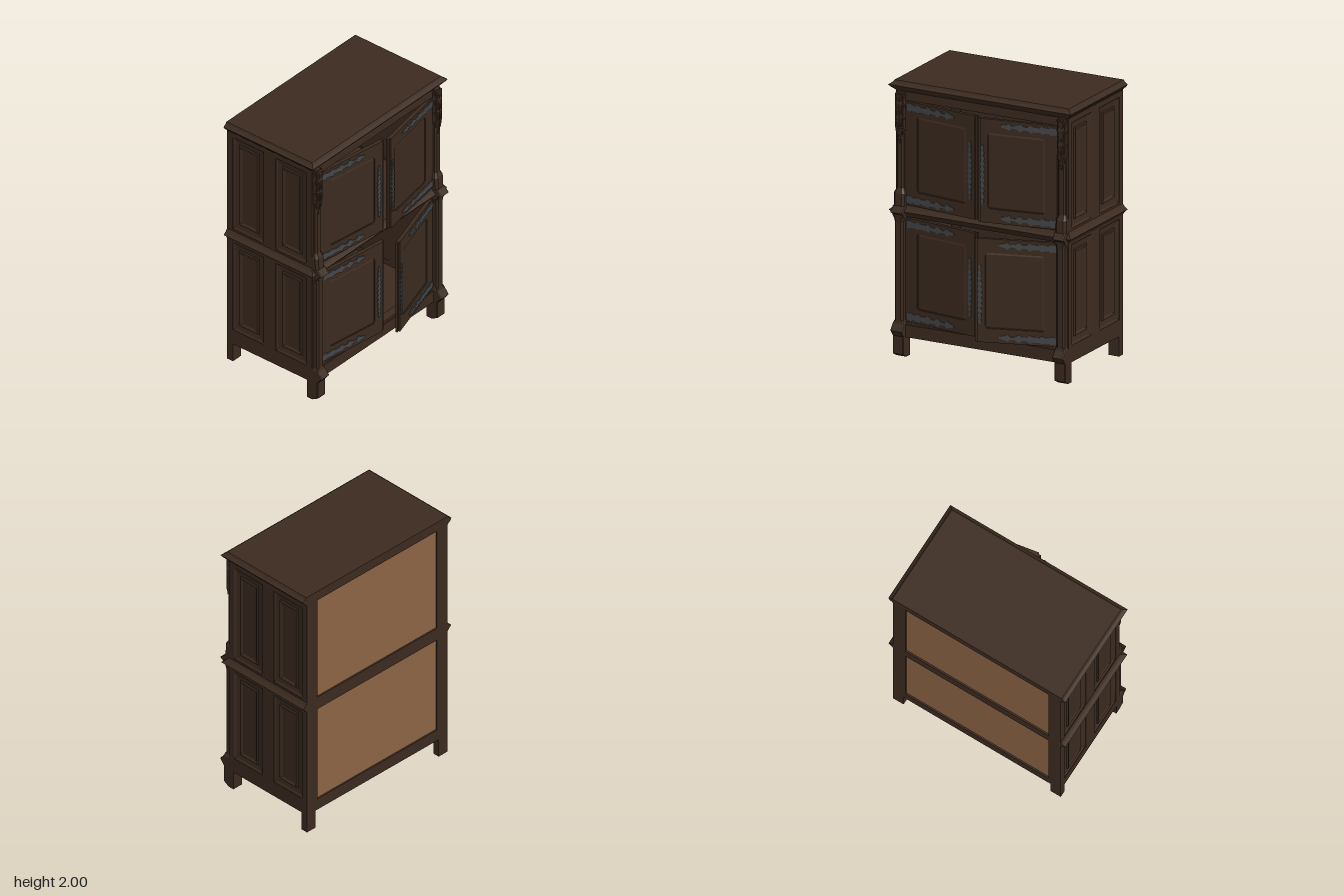
import * as THREE from 'three';

const wood = new THREE.MeshStandardMaterial({ name: 'dark wood', color: 0x3c2b20 });
const tan = new THREE.MeshStandardMaterial({ name: 'bare back wood', color: 0x8b6445 });
const iron = new THREE.MeshStandardMaterial({ name: 'iron', color: 0x434649 });

const W = 0.685, BACK = -0.47, FRONT = 0.3;

function add(parent, name, geometry, material = wood) {
  const mesh = new THREE.Mesh(geometry, material);
  mesh.name = name;
  parent.add(mesh);
  return mesh;
}

// box given by its min and max on each axis
function box(parent, name, x0, x1, y0, y1, z0, z1, material) {
  const m = add(parent, name, new THREE.BoxGeometry(x1 - x0, y1 - y0, z1 - z0), material);
  m.position.set((x0 + x1) / 2, (y0 + y1) / 2, (z0 + z1) / 2);
  return m;
}

// flat-faced loft through convex cross-sections, closed at both ends
function loft(rings) {
  const out = [];
  const tri = (a, b, c) => out.push(...a, ...b, ...c);
  const n = rings[0].length, last = rings[rings.length - 1];
  for (let i = 0; i + 1 < rings.length; i++) {
    for (let j = 0; j < n; j++) {
      const k = (j + 1) % n;
      tri(rings[i][j], rings[i][k], rings[i + 1][k]);
      tri(rings[i][j], rings[i + 1][k], rings[i + 1][j]);
    }
  }
  for (let j = 1; j + 1 < n; j++) {
    tri(rings[0][0], rings[0][j + 1], rings[0][j]);
    tri(last[0], last[j], last[j + 1]);
  }
  const g = new THREE.BufferGeometry();
  g.setAttribute('position', new THREE.Float32BufferAttribute(out, 3));
  g.computeVertexNormals();
  return g;
}

// moulded slab, profile of [y, outset]; flush at the back
const slab = (profile) => loft(profile.map(([y, o]) => [
  [-W - o, y, FRONT + o], [W + o, y, FRONT + o], [W + o, y, BACK], [-W - o, y, BACK]]));

// upright with chamfered front corners, profile of [y, half width, front z]
const upright = (x, zb, chamfer, profile) => loft(profile.map(([y, w, zf]) => {
  const c = w * chamfer;
  return [[x - w, y, zf - c], [x - w + c, y, zf], [x + w - c, y, zf],
    [x + w, y, zf - c], [x + w, y, zb], [x - w, y, zb]];
}));

// panel facing +z, steps of [inset, z]
const fielded = (w, h, steps) => loft(steps.map(([inset, z]) => {
  const a = w / 2 - inset, b = h / 2 - inset;
  return [[-a, -b, z], [a, -b, z], [a, b, z], [-a, b, z]];
}));

function rect(Path, x0, x1, y0, y1, r = 0.0001) {
  const p = new Path();
  p.moveTo(x0 + r, y0).lineTo(x1 - r, y0).quadraticCurveTo(x1, y0, x1, y0 + r);
  p.lineTo(x1, y1 - r).quadraticCurveTo(x1, y1, x1 - r, y1);
  p.lineTo(x0 + r, y1).quadraticCurveTo(x0, y1, x0, y1 - r);
  p.lineTo(x0, y0 + r).quadraticCurveTo(x0, y0, x0 + r, y0);
  return p;
}

const solid = (shape, depth) =>
  new THREE.ExtrudeGeometry(shape, { depth, bevelEnabled: false, curveSegments: 4 });

// symmetric leafy iron plate along x, outline of [position, half width]
function ironPlate(length, outline) {
  const top = outline.map(([t, w]) => new THREE.Vector2(t * length, w));
  const bottom = outline.map(([t, w]) => new THREE.Vector2(t * length, -w)).reverse();
  return solid(new THREE.Shape([...top, ...bottom]), 0.007);
}

const strapOutline = [[0, 0.02], [0.03, 0.028], [0.06, 0.024], [0.1, 0.03], [0.13, 0.02], [0.22, 0.022],
  [0.26, 0.03], [0.3, 0.018], [0.42, 0.02], [0.47, 0.031], [0.52, 0.014], [0.6, 0.012],
  [0.65, 0.03], [0.7, 0.02], [0.73, 0.01], [0.81, 0.008], [0.85, 0.027], [0.91, 0.016], [1, 0.008]];
// lock plate: a run of leaves, widest in the middle
const lockOutline = [];
for (let i = 0; i <= 22; i++) {
  const swell = 0.45 + 0.55 * Math.sin(Math.PI * i / 22);
  lockOutline.push([i / 22, (i % 2 ? 0.021 : 0.008) * swell]);
}

function door(name, side, y, angle) {
  const g = new THREE.Group();
  g.name = name;
  const L = side > 0 ? 0.585 : 0.602, H = 0.377, T = 0.028, d = -side;
  const span = (a, b) => [Math.min(d * a, d * b), Math.max(d * a, d * b)];
  // frame with a round-cornered opening and a sunk panel
  const shape = rect(THREE.Shape, ...span(0, L - 0.018), -H, H);
  shape.holes.push(rect(THREE.Path, ...span(0.09, 0.51), -0.275, 0.275, 0.025));
  add(g, 'doorFrame', solid(shape, T)).position.z = -T;
  const panel = add(g, 'doorPanel', fielded(0.425, 0.555, [[0, -T + 0.002], [0, -0.01], [0.016, -0.003]]));
  panel.position.x = d * 0.3;
  box(g, 'doorLip', ...span(L - 0.018, L), -H, H, -T, -0.012);
  // iron straps and lock plate
  for (const s of [-1, 1]) {
    const strap = add(g, 'hingeStrap', ironPlate(0.41, strapOutline), iron);
    strap.position.set(0, s * 0.335, side > 0 ? 0.007 : 0);
    strap.rotation.y = side > 0 ? Math.PI : 0;
  }
  const lock = add(g, 'lockPlate', ironPlate(0.43, lockOutline), iron);
  lock.rotation.z = Math.PI / 2;
  lock.position.set(d * 0.548, -0.243, 0);
  g.position.set(side * 0.598, y, 0.305);
  g.rotation.y = side * angle;
  return g;
}

export function createModel() {
  const model = new THREE.Group();
  model.name = 'cupboard';

  // moulded top and waist, rails and floor
  add(model, 'topCornice', slab([[1.925, 0], [1.94, 0.012], [1.95, 0.026], [1.97, 0.04], [1.985, 0.018], [2, 0.007]]));
  add(model, 'waistMoulding', slab([[1.015, 0], [1.035, 0.01], [1.06, 0.038], [1.08, 0.014], [1.1, 0]]));
  box(model, 'topRail', -0.6, 0.6, 1.862, 1.93, 0.26, FRONT);
  box(model, 'bottomRail', -0.6, 0.6, 0.145, 0.235, 0.26, 0.315);
  box(model, 'bottomLedge', -0.6, 0.6, 0.235, 0.252, 0.24, 0.305);
  box(model, 'floorBoard', -0.656, 0.656, 0.2, 0.225, -0.45, 0.27);

  // sides with four fielded panels each
  const rows = [[0.265, 1.0], [1.115, 1.885]], columns = [[-0.42, -0.14], [-0.03, 0.25]];
  const wall = rect(THREE.Shape, BACK, FRONT, 0.145, 1.93);
  for (const [y0, y1] of rows) for (const [z0, z1] of columns) wall.holes.push(rect(THREE.Path, z0, z1, y0, y1));
  for (const s of [-1, 1]) {
    const side = new THREE.Group();
    side.name = s > 0 ? 'leftSide' : 'rightSide';
    model.add(side);
    const frame = add(side, 'sideFrame', solid(wall, 0.03));
    frame.rotation.y = -Math.PI / 2;
    frame.position.x = s > 0 ? W : -W + 0.03;
    for (const [y0, y1] of rows) for (const [z0, z1] of columns) {
      const p = add(side, 'sidePanel', fielded(z1 - z0, y1 - y0,
        [[0, -0.028], [0, -0.003], [0.014, -0.012], [0.052, -0.016], [0.056, -0.005], [0.066, -0.005], [0.078, -0.013]]));
      p.rotation.y = s * Math.PI / 2;
      p.position.set(s * W, (y0 + y1) / 2, (z0 + z1) / 2);
    }

    // front stile, foot with pointed flare, and posts
    const x = s * 0.6425;
    box(side, 'frontStile', x - 0.0425, x + 0.0425, 0.145, 1.93, 0.25, FRONT);
    add(side, 'frontLeg', upright(x, 0.255, 0.12, [[0, 0.0425, 0.305], [0.025, 0.0425, 0.35], [0.155, 0.0425, 0.35],
      [0.2, 0.0425, 0.386], [0.245, 0.0425, 0.35], [0.265, 0.034, 0.345]]));
    add(side, 'lowerPost', upright(x, 0.29, 0.4, [[0.26, 0.034, 0.345], [0.98, 0.034, 0.345], [1.02, 0.0425, 0.35]]));
    add(side, 'postCap', upright(x, 0.29, 0.12, [[1.02, 0.0425, 0.35], [1.04, 0.0425, 0.354],
      [1.06, 0.0425, 0.386], [1.1, 0.0425, 0.348]]));
    add(side, 'upperPost', upright(x, 0.29, 0.4, [[1.1, 0.0425, 0.348], [1.19, 0.0425, 0.344],
      [1.225, 0.028, 0.326], [1.925, 0.028, 0.326]]));

    // carved pendant with ribs and small spikes
    add(side, 'carvedPendant', upright(x, 0.295, 0.4, [[1.55, 0.004, 0.328], [1.65, 0.034, 0.336], [1.67, 0.024, 0.328],
      [1.74, 0.036, 0.338], [1.76, 0.026, 0.33], [1.84, 0.037, 0.34], [1.86, 0.029, 0.333], [1.91, 0.038, 0.34]]));
    for (const k of [-1, 0, 1]) {
      box(side, 'pendantRib', x + k * 0.028 - 0.004, x + k * 0.028 + 0.004, 1.66, 1.9, 0.3, 0.338 - Math.abs(k) * 0.006);
      for (const y of [1.62, 1.7, 1.79]) {
        const spike = add(side, 'pendantSpike', new THREE.ConeGeometry(0.011, 0.08, 4));
        spike.rotation.x = Math.PI;
        spike.position.set(x + k * 0.024, y + Math.abs(k) * 0.02, 0.332 - Math.abs(k) * 0.005);
      }
    }

    // back leg and stile
    box(side, 'backLeg', x - 0.0425, x + 0.0425, 0, 0.146, BACK, -0.418);
    box(side, 'backStile', s > 0 ? 0.585 : -W + 0.001, s > 0 ? W - 0.001 : -0.585, 0.145, 1.93, BACK, -0.43);
  }

  // back rails, bare boards outside and dark lining inside
  for (const [y0, y1] of [[0.145, 0.235], [1.0, 1.1]]) box(model, 'backRail', -0.585, 0.585, y0, y1, BACK - 0.001, -0.43);
  for (const [y0, y1] of [[0.22, 1.02], [1.09, 1.93]]) {
    box(model, 'backBoard', -0.6, 0.6, y0, y1, -0.459, -0.453, tan);
    box(model, 'backLining', -0.656, 0.656, y0, y1, -0.453, -0.435);
  }

  // doors standing ajar
  model.add(door('upperRightDoor', -1, 1.4825, 0.125), door('lowerRightDoor', -1, 0.6325, 0.125));
  model.add(door('upperLeftDoor', 1, 1.4825, 0.175), door('lowerLeftDoor', 1, 0.6325, 0.3));
  return model;
}
